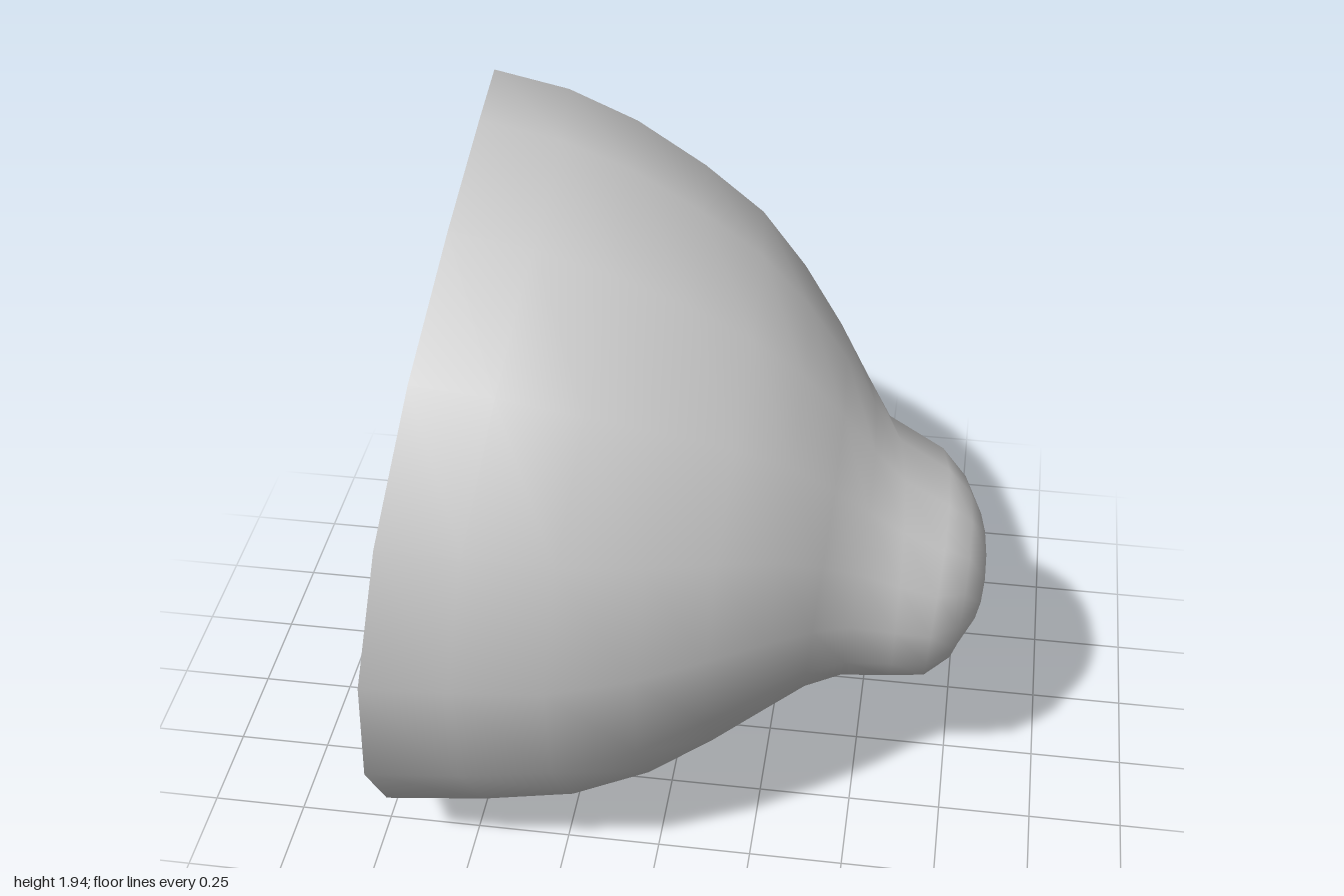
import * as THREE from 'three';

const SIDES = 16;

// Each ring: top x,y | bottom x,y | back x,z | front x,z
const RINGS = [
  [-0.50, 1.95, -0.74, 0.01, -0.78, -1.00, -0.63, 1.00],
  [-0.30, 1.91, -0.45, 0.04, -0.58, -0.98, -0.42, 0.98],
  [-0.12, 1.84, -0.22, 0.08, -0.37, -0.93, -0.20, 0.94],
  [0.05, 1.74, -0.03, 0.15, -0.13, -0.83, 0.00, 0.85],
  [0.20, 1.63, 0.13, 0.26, 0.05, -0.73, 0.16, 0.76],
  [0.32, 1.50, 0.25, 0.36, 0.17, -0.61, 0.30, 0.66],
  [0.42, 1.36, 0.34, 0.42, 0.28, -0.48, 0.40, 0.56],
  [0.50, 1.24, 0.43, 0.45, 0.37, -0.35, 0.49, 0.48],
  [0.57, 1.15, 0.55, 0.46, 0.44, -0.26, 0.60, 0.44],
  [0.70, 1.08, 0.66, 0.47, 0.61, -0.20, 0.69, 0.41],
  [0.76, 1.02, 0.72, 0.53, 0.69, -0.12, 0.76, 0.36],
  [0.79, 0.96, 0.75, 0.61, 0.73, -0.02, 0.81, 0.27],
];

// Tilted, slightly warped ellipse through the four extreme points of a ring
function ringPoints([tx, ty, bx, by, kx, kz, fx, fz]) {
  const mean = (tx + bx + kx + fx) / 4;
  const warp = (kx + fx - tx - bx) / 4;
  const points = [];
  for (let j = 0; j < SIDES; j++) {
    const a = (j / SIDES) * Math.PI * 2 - 0.03;
    const c = Math.cos(a), s = Math.sin(a);
    points.push([
      mean + (tx - bx) / 2 * s + (fx - kx) / 2 * c + warp * Math.cos(2 * a),
      (ty + by) / 2 + (ty - by) / 2 * s,
      (fz + kz) / 2 + (fz - kz) / 2 * c,
    ]);
  }
  return points;
}

function makeMesh(name, points, index) {
  const geometry = new THREE.BufferGeometry();
  geometry.setAttribute('position', new THREE.Float32BufferAttribute(points.flat(), 3));
  geometry.setIndex(index);
  geometry.computeVertexNormals();
  const material = new THREE.MeshStandardMaterial({ color: 0xcccccc, side: THREE.DoubleSide });
  const mesh = new THREE.Mesh(geometry, material);
  mesh.name = name;
  return mesh;
}

export function createModel() {
  const group = new THREE.Group();
  group.name = 'domeWithKnob';
  const loops = RINGS.map(ringPoints);

  // Dome skin flowing into the rounded knob, closed at the tip
  const skin = loops.flat();
  const index = [];
  for (let i = 0; i < loops.length - 1; i++) {
    for (let j = 0; j < SIDES; j++) {
      const k = (j + 1) % SIDES;
      const a = i * SIDES + j, b = i * SIDES + k;
      index.push(a, a + SIDES, b, b, a + SIDES, b + SIDES);
    }
  }
  const tip = skin.length, last = tip - SIDES;
  skin.push([0.78, 0.8, 0.13]);
  for (let j = 0; j < SIDES; j++) index.push(last + j, tip, last + (j + 1) % SIDES);
  group.add(makeMesh('domeAndKnob', skin, index));

  // Back cover: fan from the middle to the warped rim
  const cover = [...loops[0], [-0.69, 1.0, 0]];
  const fan = [];
  for (let j = 0; j < SIDES; j++) fan.push(j, (j + 1) % SIDES, SIDES);
  group.add(makeMesh('backCover', cover, fan));

  return group;
}
